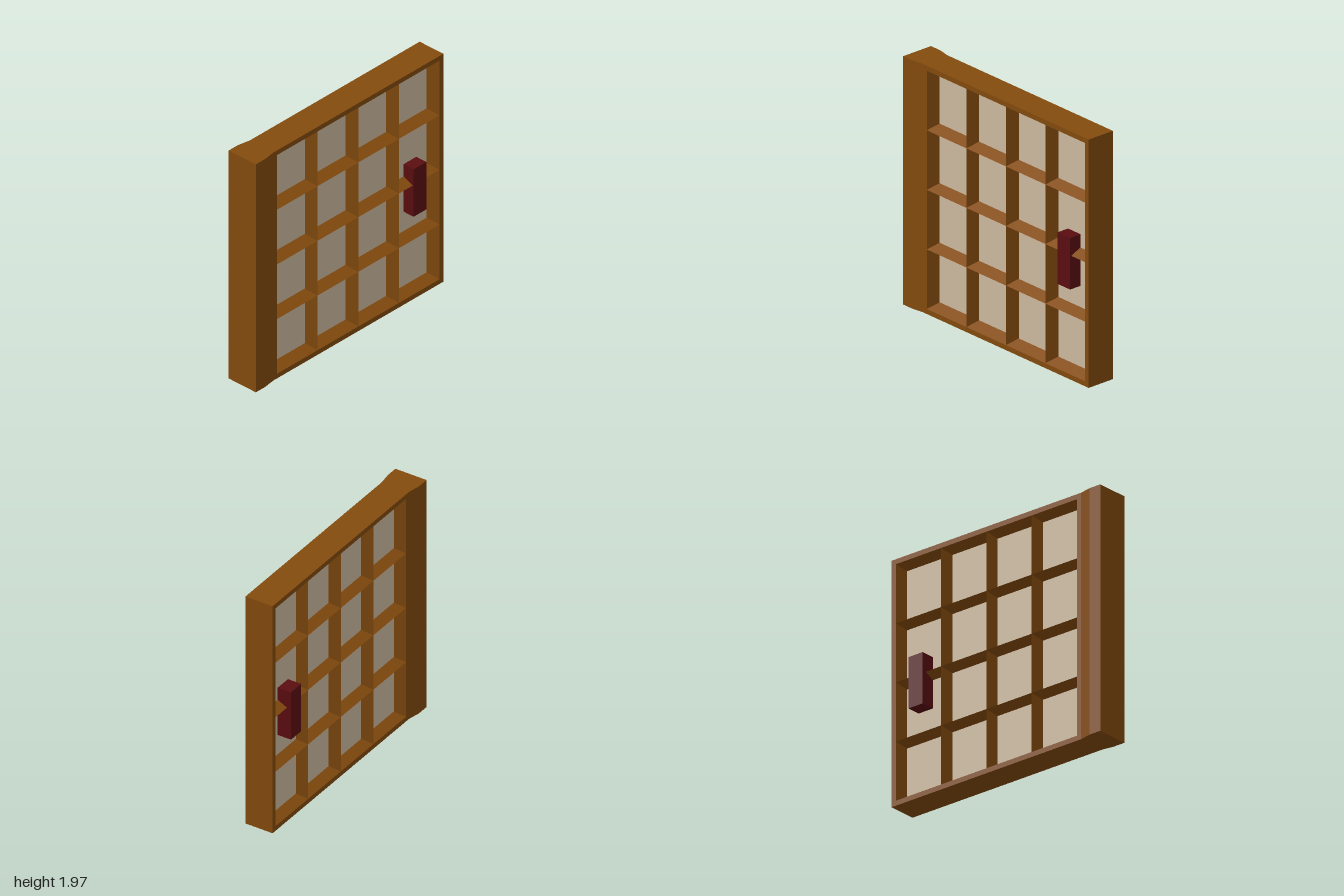
import * as THREE from 'three';

const material = (name, color) => {
  const m = new THREE.MeshStandardMaterial({ color });
  m.name = name;
  return m;
};

export function createModel() {
  const wood = material('brown wood', 0x844b0d);
  const paper = material('beige paper', 0xcdbaa0);
  const red = material('dark red handle', 0x5a0d10);
  const door = new THREE.Group();
  door.name = 'slidingDoor';

  const height = 1.97;
  const xBack = -0.11, xFront = 0.125; // faces of the frame
  const paneBack = -0.03, paneFront = 0.035; // faces of the recessed panes
  const y0 = 0.04, y1 = 1.93, z0 = -0.96, z1 = 0.76; // opening

  function add(name, geometry, mat) {
    const mesh = new THREE.Mesh(geometry, mat);
    mesh.name = name;
    door.add(mesh);
    return mesh;
  }

  function box(name, mat, a, b) {
    const size = a.map((v, i) => b[i] - v);
    const mid = a.map((v, i) => (b[i] + v) / 2);
    add(name, new THREE.BoxGeometry(...size), mat).position.set(...mid);
  }

  function prism(points, depth) {
    const shape = new THREE.Shape(points.map(([x, y]) => new THREE.Vector2(x, y)));
    return new THREE.ExtrudeGeometry(shape, { depth, bevelEnabled: false });
  }

  // Thick front post that flares outwards (x, -z profile, raised upright)
  const post = prism([
    [-0.13, -1], [0.14, -1], [0.14, -0.9], [xFront, -0.8],
    [xFront, -z1], [xBack, -z1], [xBack, -0.8], [-0.13, -0.9],
  ], height);
  add('frontPost', post.rotateX(-Math.PI / 2), wood);

  // Remaining frame
  box('backPost', wood, [xBack, 0, -1], [xFront, height, z0]);
  box('topRail', wood, [xBack, y1, z0], [xFront, height, z1]);
  box('bottomRail', wood, [xBack, 0, z0], [xFront, y0, z1]);

  // Ridged lattice; the outermost bars form the bevels of the frame
  const w = 0.0395;
  const ridge = [
    [xFront, 0], [paneFront, w], [paneBack, w],
    [xBack, 0], [paneBack, -w], [paneFront, -w],
  ];
  for (let i = 0; i <= 4; i++) {
    const y = THREE.MathUtils.lerp(y0, y1, i / 4);
    const z = THREE.MathUtils.lerp(z0, z1, i / 4);
    add('horizontalBar', prism(ridge, z1 - z0), wood).position.set(0, y, z0);
    add('verticalBar', prism(ridge, y1 - y0).rotateX(-Math.PI / 2), wood).position.set(0, y0, z);
  }

  // Paper panel behind the lattice, visible from both sides
  box('paperPanel', paper, [paneBack, y0, z0], [paneFront, y1, z1]);

  // Handles on both faces
  box('leftHandle', red, [paneFront, 0.72, -0.81], [0.135, 1.13, -0.675]);
  box('rightHandle', red, [-0.145, 0.72, -0.81], [paneBack, 1.13, -0.675]);

  return door;
}
